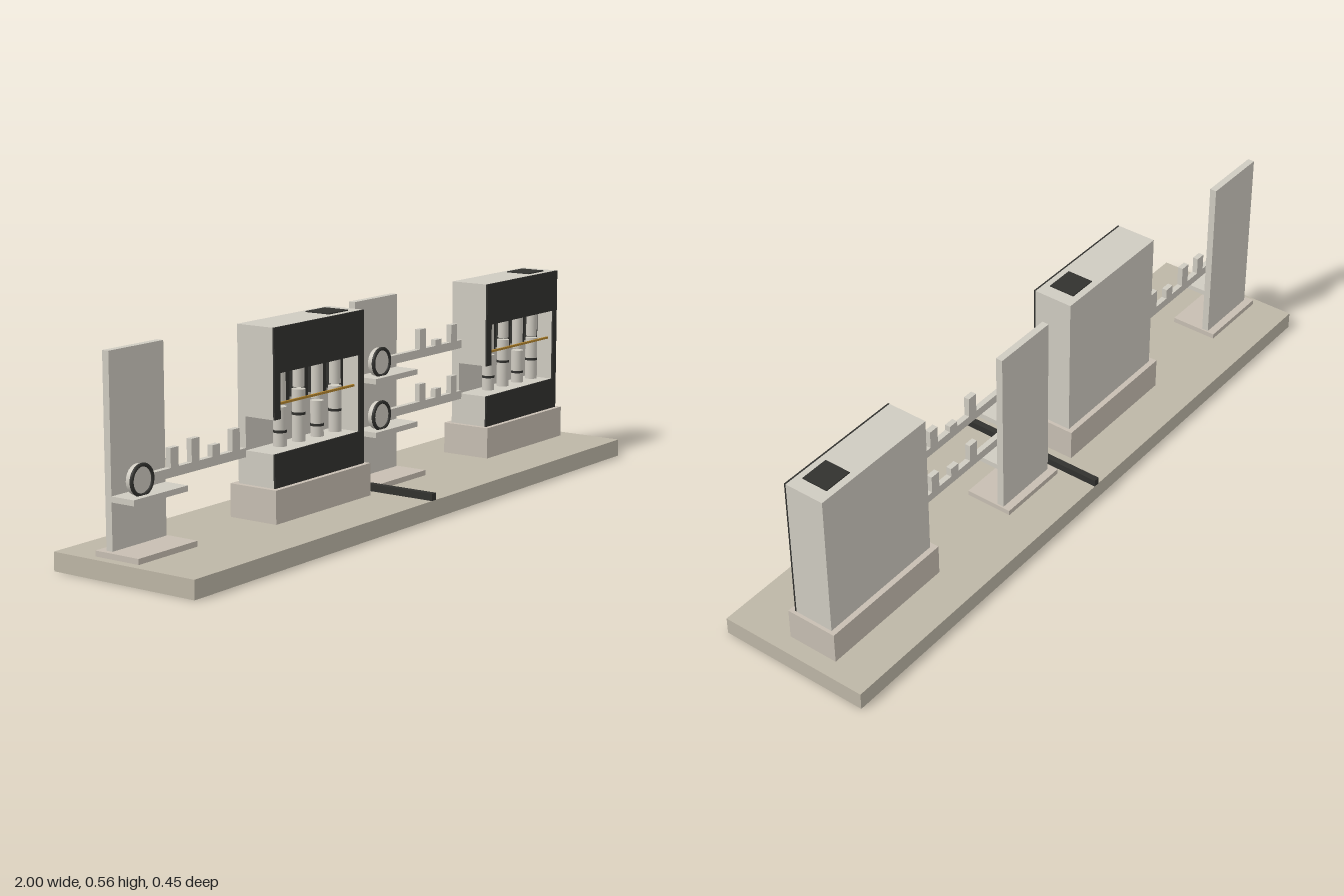
import * as THREE from 'three';

const mat = (color) => new THREE.MeshStandardMaterial({ color });
const STONE = mat(0xbdb6a6), PALE = mat(0xcfcbc1), PLINTH = mat(0xc7beb2);
const DARK = mat(0x31312e), BRASS = mat(0xb4862f);

function add(parent, name, geometry, material) {
  const mesh = new THREE.Mesh(geometry, material);
  mesh.name = name;
  parent.add(mesh);
  return mesh;
}

// Box given by its limits on each axis
function box(parent, name, material, x0, x1, y0, y1, z0, z1) {
  const mesh = add(parent, name, new THREE.BoxGeometry(x1 - x0, y1 - y0, z1 - z0), material);
  mesh.position.set((x0 + x1) / 2, (y0 + y1) / 2, (z0 + z1) / 2);
  return mesh;
}

function cylinder(parent, name, material, radius, height, x, y, z) {
  const mesh = add(parent, name, new THREE.CylinderGeometry(radius, radius, height, 24), material);
  mesh.position.set(x, y, z);
  return mesh;
}

// Key: round bow with a dark rim, a blade and a row of teeth
function key(y, teeth) {
  const group = new THREE.Group();
  group.name = 'key';
  const z = -0.027;
  box(group, 'keyBlade', PALE, -0.88, -0.5, y - 0.014, y + 0.01, z - 0.008, z + 0.008);
  cylinder(group, 'keyBow', PALE, 0.039, 0.018, -0.903, y, z).rotation.x = Math.PI / 2;
  add(group, 'keyBowRim', new THREE.TorusGeometry(0.038, 0.005, 8, 40), DARK).position.set(-0.903, y, z + 0.009);
  teeth.forEach((h, i) => {
    const x = -0.78 + i * 0.08;
    if (h) box(group, 'keyTooth', PALE, x - 0.015, x + 0.015, y + 0.005, y + h, z - 0.008, z + 0.008);
  });
  return group;
}

// Tower: thin upright slab on a foot, with one ledge under each key
function tower(keyHeights) {
  const group = new THREE.Group();
  group.name = 'tower';
  box(group, 'towerFoot', PLINTH, -0.975, -0.755, 0.05, 0.065, -0.11, 0.03);
  box(group, 'towerSlab', PALE, -0.96, -0.76, 0.065, 0.56, -0.087, -0.067);
  for (const y of keyHeights) {
    box(group, 'towerLedge', PALE, -0.96, -0.76, y - 0.052, y - 0.037, -0.067, 0.005);
  }
  return group;
}

// Lock cabinet: cut-away case with a side keyway, pin stacks and a shear line
function lockCabinet() {
  const group = new THREE.Group();
  group.name = 'lockCabinet';
  box(group, 'cabinetPlinth', PLINTH, -0.465, -0.05, 0.05, 0.14, -0.101, 0.05);
  box(group, 'cabinetBack', PALE, -0.45, -0.06, 0.14, 0.56, -0.085, -0.06);

  // Frame outline, open on the left at the keyway
  const outline = new THREE.Shape([
    [-0.45, 0.14], [-0.06, 0.14], [-0.06, 0.56], [-0.45, 0.56], [-0.45, 0.32],
    [-0.425, 0.32], [-0.425, 0.44], [-0.08, 0.44], [-0.08, 0.23], [-0.45, 0.23],
  ].map(([x, y]) => new THREE.Vector2(x, y)));
  const frame = (name, material, z0, z1) => add(group, name,
    new THREE.ExtrudeGeometry(outline, { depth: z1 - z0, bevelEnabled: false }), material).position.z = z0;
  frame('cabinetFrame', PALE, -0.06, 0.031);
  frame('cabinetFace', DARK, 0.031, 0.036);
  box(group, 'cabinetHatch', DARK, -0.185, -0.1, 0.56, 0.563, -0.065, 0.012);

  // Pin stacks with dark ribs between their chambers
  [0.34, 0.375, 0.332, 0.36].forEach((top, i) => {
    const x = -0.37 + i * 0.08, z = -0.01;
    cylinder(group, 'lowerPin', PALE, 0.018, top - 0.235, x, (top + 0.235) / 2, z);
    cylinder(group, 'pinBand', DARK, 0.0185, 0.007, x, top - 0.065, z);
    cylinder(group, 'upperPin', PALE, 0.016, 0.434 - top, x, (0.446 + top) / 2, z);
    box(group, 'chamberRib', DARK, x + 0.023, x + 0.055, 0.345, 0.44, -0.06, -0.02);
  });
  box(group, 'shearLine', BRASS, -0.425, -0.08, 0.352, 0.358, 0.012, 0.018);
  return group;
}

export function createModel() {
  const model = new THREE.Group();
  model.name = 'lockComparisonDisplay';
  box(model, 'base', STONE, -1, 1, 0, 0.05, -0.225, 0.225);
  box(model, 'divider', DARK, -0.009, 0.009, 0.05, 0.07, -0.225, 0.225);

  // Left scene has one shared key position, right scene has two
  const scenes = [
    { name: 'sharedScene', x: 0, keys: [[0.24, [0.06, 0.07, 0.04, 0.067]]] },
    { name: 'separateScene', x: 1, keys: [[0.24, [0, 0.06, 0.035, 0.06]], [0.39, [0, 0.067, 0.027, 0.06]]] },
  ];
  for (const { name, x, keys } of scenes) {
    const scene = new THREE.Group();
    scene.name = name;
    scene.position.x = x;
    scene.add(tower(keys.map(([y]) => y)), lockCabinet(), ...keys.map(([y, teeth]) => key(y, teeth)));
    model.add(scene);
  }
  return model;
}
